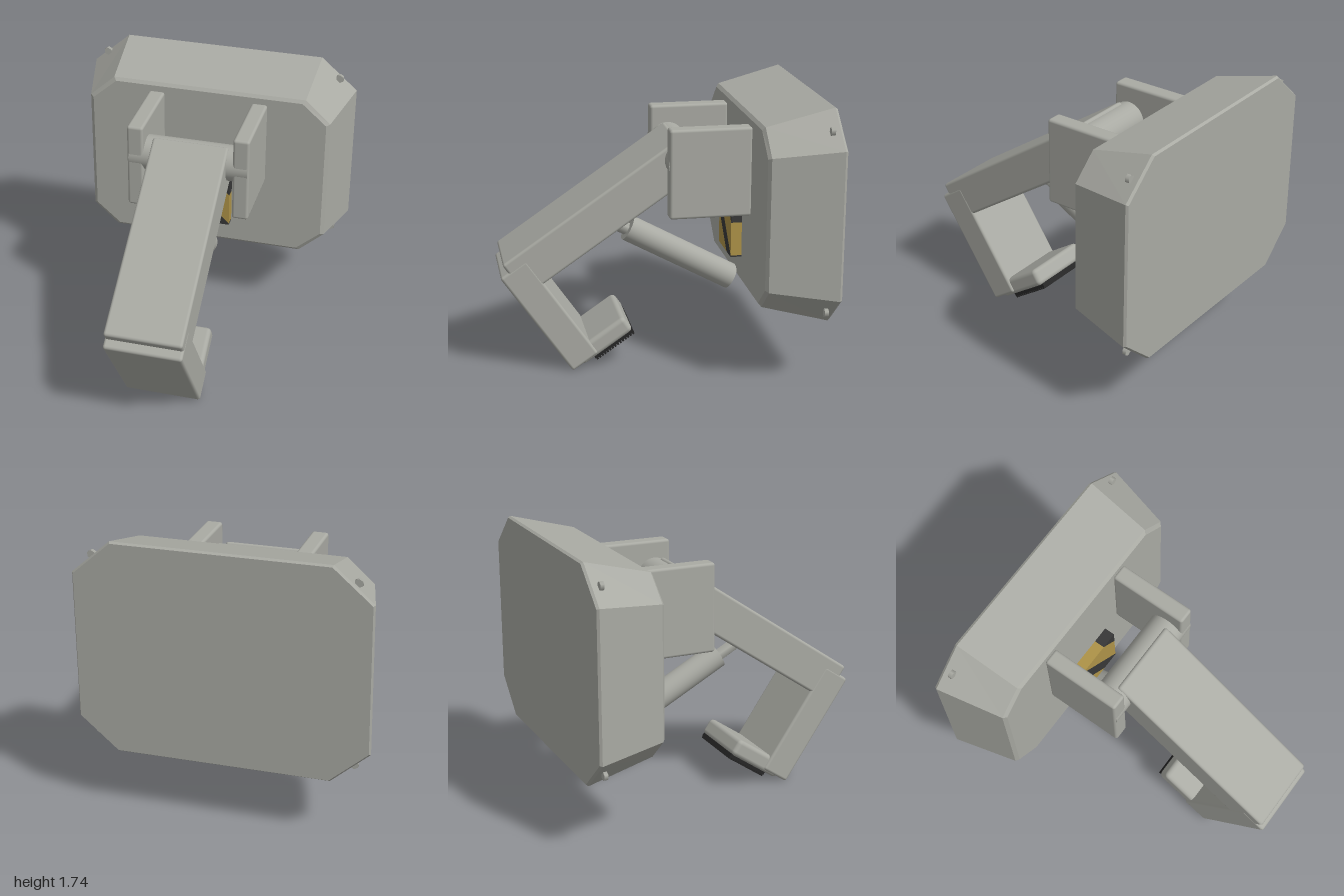
import * as THREE from 'three';
import { RoundedBoxGeometry } from 'three/addons/geometries/RoundedBoxGeometry.js';

export function createModel() {
  const model = new THREE.Group();
  const mat = (name, color) => Object.assign(new THREE.MeshStandardMaterial({ color }), { name });
  const metal = mat('grey metal', 0xa9aaa3);
  const yellow = mat('warning yellow', 0xae9348);
  const black = mat('warning black', 0x383838);
  const rubber = mat('black rubber', 0x262626);

  const add = (parent, name, geometry, material) => {
    const mesh = new THREE.Mesh(geometry, material);
    mesh.name = name;
    parent.add(mesh);
    return mesh;
  };

  // Box given by its extents, with softened edges
  const box = (parent, name, [x0, x1], [y0, y1], [z0, z1], material, r = 0.018) => {
    const geometry = r
      ? new RoundedBoxGeometry(x1 - x0, y1 - y0, z1 - z0, 2, r)
      : new THREE.BoxGeometry(x1 - x0, y1 - y0, z1 - z0);
    const mesh = add(parent, name, geometry, material);
    mesh.position.set((x0 + x1) / 2, (y0 + y1) / 2, (z0 + z1) / 2);
    return mesh;
  };

  // Cylinder running between two points
  const rod = (parent, name, a, b, radius, sides, material) => {
    const from = new THREE.Vector3(...a), to = new THREE.Vector3(...b);
    const dir = to.clone().sub(from);
    const mesh = add(parent, name, new THREE.CylinderGeometry(radius, radius, dir.length(), sides), material);
    mesh.position.copy(from).add(to).multiplyScalar(0.5);
    mesh.quaternion.setFromUnitVectors(new THREE.Vector3(0, 1, 0), dir.normalize());
    return mesh;
  };

  // Mounting base: tapered octagon lofted from back to front
  const octagon = (hx, hy, cx, cy, z) => [
    [hx, hy - cy], [hx - cx, hy], [cx - hx, hy], [-hx, hy - cy],
    [-hx, cy - hy], [cx - hx, -hy], [hx - cx, -hy], [hx, cy - hy],
  ].map(([x, y]) => [x, y + 1.075, z]);
  const rings = [
    octagon(0.89, 0.665, 0.235, 0.205, -1),
    octagon(0.9, 0.675, 0.24, 0.21, -0.985),
    octagon(0.803, 0.567, 0.165, 0.15, -0.568),
    octagon(0.78, 0.547, 0.16, 0.14, -0.55),
  ];
  const verts = [];
  for (let r = 0; r < rings.length - 1; r++) {
    for (let i = 0; i < 8; i++) {
      const j = (i + 1) % 8;
      const a = rings[r][i], b = rings[r][j], c = rings[r + 1][j], d = rings[r + 1][i];
      verts.push(...a, ...b, ...c, ...a, ...c, ...d);
    }
  }
  const front = rings[3], back = rings[0];
  for (let i = 1; i < 7; i++) {
    verts.push(...front[0], ...front[i], ...front[i + 1]);
    verts.push(...back[0], ...back[i + 1], ...back[i]);
  }
  const baseGeometry = new THREE.BufferGeometry();
  baseGeometry.setAttribute('position', new THREE.Float32BufferAttribute(verts, 3));
  baseGeometry.computeVertexNormals();
  add(model, 'mountingBase', baseGeometry, metal);

  // Hexagonal bolts on the base corners, and the two hinge brackets
  for (const side of [-1, 1]) {
    for (const y of [1.64, 0.505]) {
      rod(model, 'bolt', [side * 0.793, y, -0.945], [side * 0.793, y, -0.92], 0.027, 6, metal);
    }
    const x = side * 0.342;
    box(model, 'hingeBracket', [x - 0.053, x + 0.053], [1.02, 1.585], [-0.555, -0.04], metal);
  }
  rod(model, 'hingePin', [-0.385, 1.36, -0.15], [0.385, 1.36, -0.15], 0.114, 32, metal);

  // Warning plate, cut into diagonal stripes
  const stripes = [
    [black, [[0.06, 1.02], [0.17, 0.91], [0.17, 1.02]]],
    [yellow, [[-0.16, 1.02], [0.17, 0.69], [0.17, 0.91], [0.06, 1.02]]],
    [black, [[-0.17, 1.02], [-0.17, 0.9], [0.05, 0.68], [0.17, 0.68], [0.17, 0.69], [-0.16, 1.02]]],
    [yellow, [[-0.17, 0.9], [-0.17, 0.68], [0.05, 0.68]]],
  ];
  for (const [material, points] of stripes) {
    const shape = new THREE.Shape(points.map(([x, y]) => new THREE.Vector2(x, y)));
    const geometry = new THREE.ExtrudeGeometry(shape, { depth: 0.075, bevelEnabled: false });
    add(model, 'warningStripe', geometry, material).position.z = -0.555;
  }

  // Bent leg, built upright and tilted as one
  const leg = new THREE.Group();
  leg.name = 'leg';
  leg.rotation.x = 0.599;
  model.add(leg);
  box(leg, 'upperLeg', [-0.246, 0.246], [0.906, 1.163], [-0.939, 0.399], metal);
  box(leg, 'lowerLeg', [-0.248, 0.248], [0.312, 1.1], [0.26, 0.46], metal);
  box(leg, 'foot', [-0.235, 0.235], [0.295, 0.41], [-0.006, 0.388], metal, 0.03);

  // Ribbed rubber sole
  box(leg, 'sole', [-0.21, 0.21], [0.276, 0.3], [0, 0.3], rubber, 0);
  const ribs = 15;
  for (let i = 0; i < ribs; i++) {
    const z = (i * 0.3) / ribs;
    box(leg, 'soleRib', [-0.21, 0.21], [0.264, 0.277], [z + 0.004, z + 0.016], rubber, 0);
  }

  // Hydraulic piston between base and leg
  rod(model, 'pistonBarrel', [0, 0.49, -0.52], [0, 0.862, 0.16], 0.084, 32, metal);
  rod(model, 'pistonRod', [0, 0.84, 0.14], [0, 0.955, 0.35], 0.042, 6, metal);

  return model;
}
